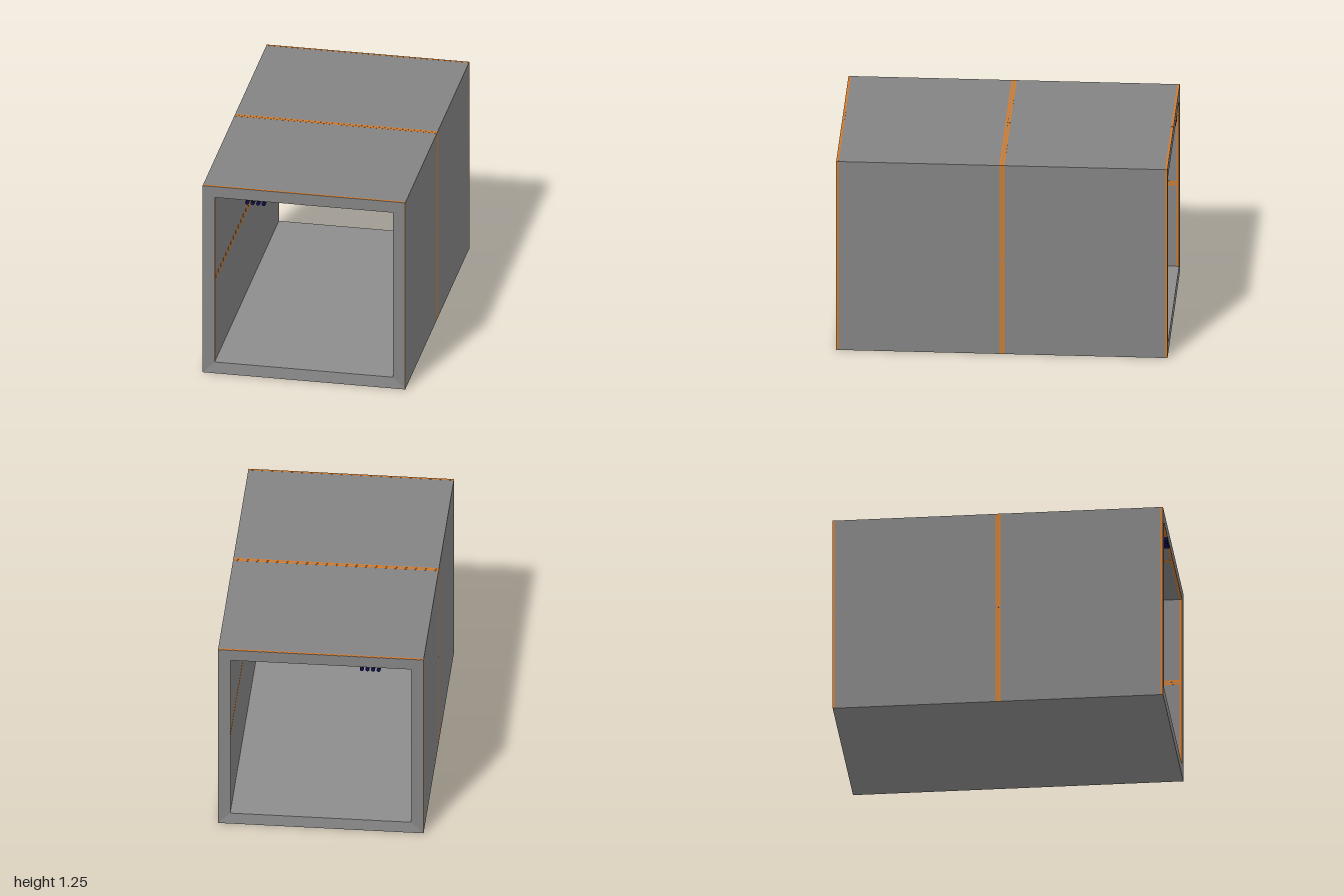
import * as THREE from 'three';

const HALF = 0.622, HEIGHT = 1.247;            // outer shell
const IN_X = 0.548, IN_BOTTOM = 0.075, IN_TOP = 1.175; // inner opening
const MID = (IN_BOTTOM + IN_TOP) / 2;
const TRIM = 0.013, SKIN = 0.0006, GAP = 0.002;

const grey = new THREE.MeshStandardMaterial({ color: 0x838383 });
const floorGrey = new THREE.MeshStandardMaterial({ color: 0x8d8d8d });
const orange = new THREE.MeshStandardMaterial({ color: 0xd27a2a });
const navy = new THREE.MeshStandardMaterial({ color: 0x111150 });
const dark = new THREE.MeshStandardMaterial({ color: 0x180a1a });

function box(parent, name, mat, min, max) {
  const size = max.map((v, i) => v - min[i]);
  const mesh = new THREE.Mesh(new THREE.BoxGeometry(...size), mat);
  mesh.position.set(...max.map((v, i) => (v + min[i]) / 2));
  mesh.name = name;
  parent.add(mesh);
}

// Cross-section swept along one section
function sweep(parent, name, mat, points) {
  const outline = new THREE.Shape(points.map(([x, y]) => new THREE.Vector2(x, y)));
  const geo = new THREE.ExtrudeGeometry(outline, { depth: 1, bevelEnabled: false });
  geo.translate(0, 0, -0.5);
  const mesh = new THREE.Mesh(geo, mat);
  mesh.name = name;
  parent.add(mesh);
}

// Walls and roof in one arch, with a paler floor mitred between the walls
function shell(parent) {
  sweep(parent, 'wallsAndRoof', grey, [
    [HALF, 0], [HALF, HEIGHT], [-HALF, HEIGHT], [-HALF, 0],
    [-IN_X, IN_BOTTOM], [-IN_X, IN_TOP], [IN_X, IN_TOP], [IN_X, IN_BOTTOM],
  ]);
  sweep(parent, 'floor', floorGrey, [
    [-HALF, 0], [HALF, 0], [IN_X, IN_BOTTOM], [-IN_X, IN_BOTTOM],
  ]);
}

// Orange edging across both wall faces, the roof and the ceiling at one end;
// the inner wall edging begins at the given height
function endTrim(parent, z0, z1, innerFrom) {
  for (const side of [-1, 1]) {
    const x = side * HALF, inX = side * IN_X;
    for (const [a, b] of [[0, HEIGHT / 2 - GAP], [HEIGHT / 2 + GAP, HEIGHT]]) {
      box(parent, 'outerWallTrim', orange, [x - SKIN, a, z0], [x + SKIN, b, z1]);
    }
    box(parent, 'innerWallTrim', orange, [inX - SKIN, innerFrom, z0], [inX + SKIN, IN_TOP, z1]);
    const [r0, r1] = side < 0 ? [-HALF, -GAP] : [GAP, HALF];
    box(parent, 'roofTrim', orange, [r0, HEIGHT - SKIN, z0], [r1, HEIGHT + SKIN, z1]);
  }
  box(parent, 'ceilingTrim', orange, [-IN_X, IN_TOP - SKIN, z0], [IN_X, IN_TOP + SKIN, z1]);
}

// Paired lines along the middle of the inner walls and the ceiling
function seamTrim(parent) {
  for (const a of [-GAP - TRIM, GAP]) {
    const b = a + TRIM;
    for (const x of [-IN_X, IN_X]) {
      box(parent, 'wallSeam', orange, [x - SKIN, MID + a, -0.5], [x + SKIN, MID + b, 0.5]);
    }
    box(parent, 'ceilingSeam', orange, [a, IN_TOP - SKIN, -0.5], [b, IN_TOP + SKIN, 0.5]);
  }
}

// Four cables under the ceiling, held by two brackets
function cableRun(parent) {
  const run = new THREE.Group();
  run.name = 'cableRun';
  for (let i = 0; i < 4; i++) {
    const cable = new THREE.Mesh(new THREE.CylinderGeometry(0.012, 0.012, 1, 10), navy);
    cable.rotation.x = Math.PI / 2;
    cable.position.set(-0.35 + i * 0.034, 1.157, 0);
    cable.name = 'cable';
    run.add(cable);
  }
  for (const z of [-0.29, 0.29]) {
    box(run, 'cableBracket', dark, [-0.373, 1.135, z - 0.04], [-0.225, IN_TOP, z + 0.04]);
  }
  parent.add(run);
}

export function createModel() {
  const model = new THREE.Group();
  model.name = 'tunnel';
  for (const side of [-1, 1]) {
    const section = new THREE.Group();
    section.name = side > 0 ? 'frontSection' : 'backSection';
    section.position.z = side * 0.5;
    shell(section);
    // Full-height edging at the open end, upper half only at the joint
    for (const end of [-1, 1]) {
      const z0 = end < 0 ? -0.5 + GAP : 0.5 - GAP - TRIM;
      endTrim(section, z0, z0 + TRIM, end === side ? IN_BOTTOM : MID);
    }
    seamTrim(section);
    cableRun(section);
    model.add(section);
  }
  return model;
}
